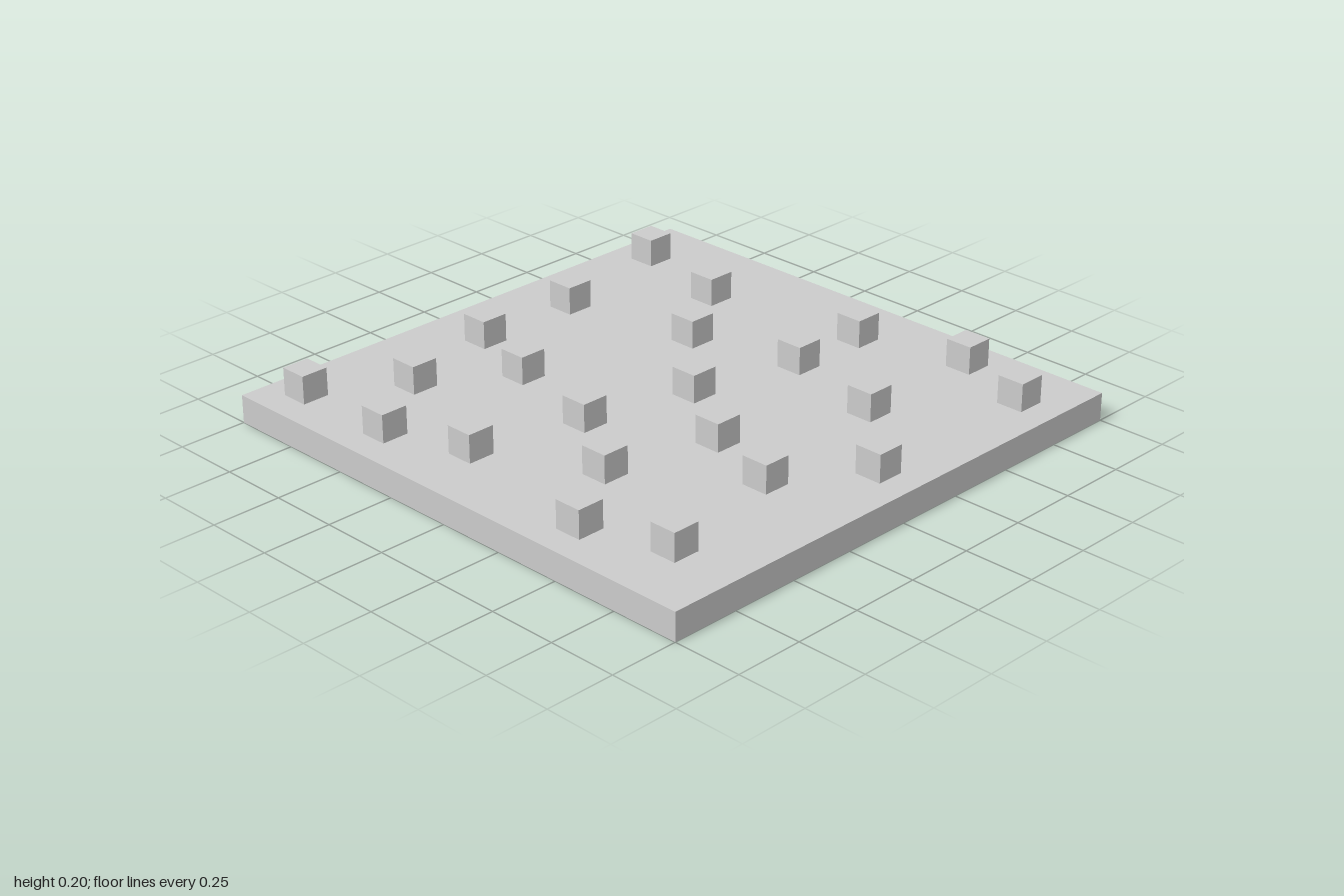
import * as THREE from 'three';

export function createModel() {
  const model = new THREE.Group();
  const material = new THREE.MeshStandardMaterial({ color: 0xcccccc, flatShading: true });

  // Flat square base plate
  const base = new THREE.Mesh(new THREE.BoxGeometry(2, 0.1, 2), material);
  base.name = 'basePlate';
  base.position.y = 0.05;
  model.add(base);

  // Small cubes scattered over the plate, one per [x, z] centre
  const centres = [
    [-0.85, -0.85], [0.75, -0.85], [-0.15, -0.75], [0.25, -0.75],
    [-0.55, -0.65], [-0.85, -0.45], [-0.25, -0.45], [0.65, -0.45],
    [0.35, -0.25], [-0.75, -0.15], [-0.35, -0.05], [0.05, 0.05],
    [0.45, 0.15], [0.75, 0.15], [-0.55, 0.25], [-0.15, 0.35],
    [-0.85, 0.45], [0.35, 0.55], [0.85, 0.55], [-0.25, 0.65],
    [-0.75, 0.75], [0.05, 0.85], [0.75, 0.85],
  ];
  const cubes = new THREE.Group();
  cubes.name = 'cubes';
  const cubeGeometry = new THREE.BoxGeometry(0.1, 0.1, 0.1);
  for (const [x, z] of centres) {
    const cube = new THREE.Mesh(cubeGeometry, material);
    cube.name = 'cube';
    cube.position.set(x, 0.15, z);
    cubes.add(cube);
  }
  model.add(cubes);

  return model;
}
